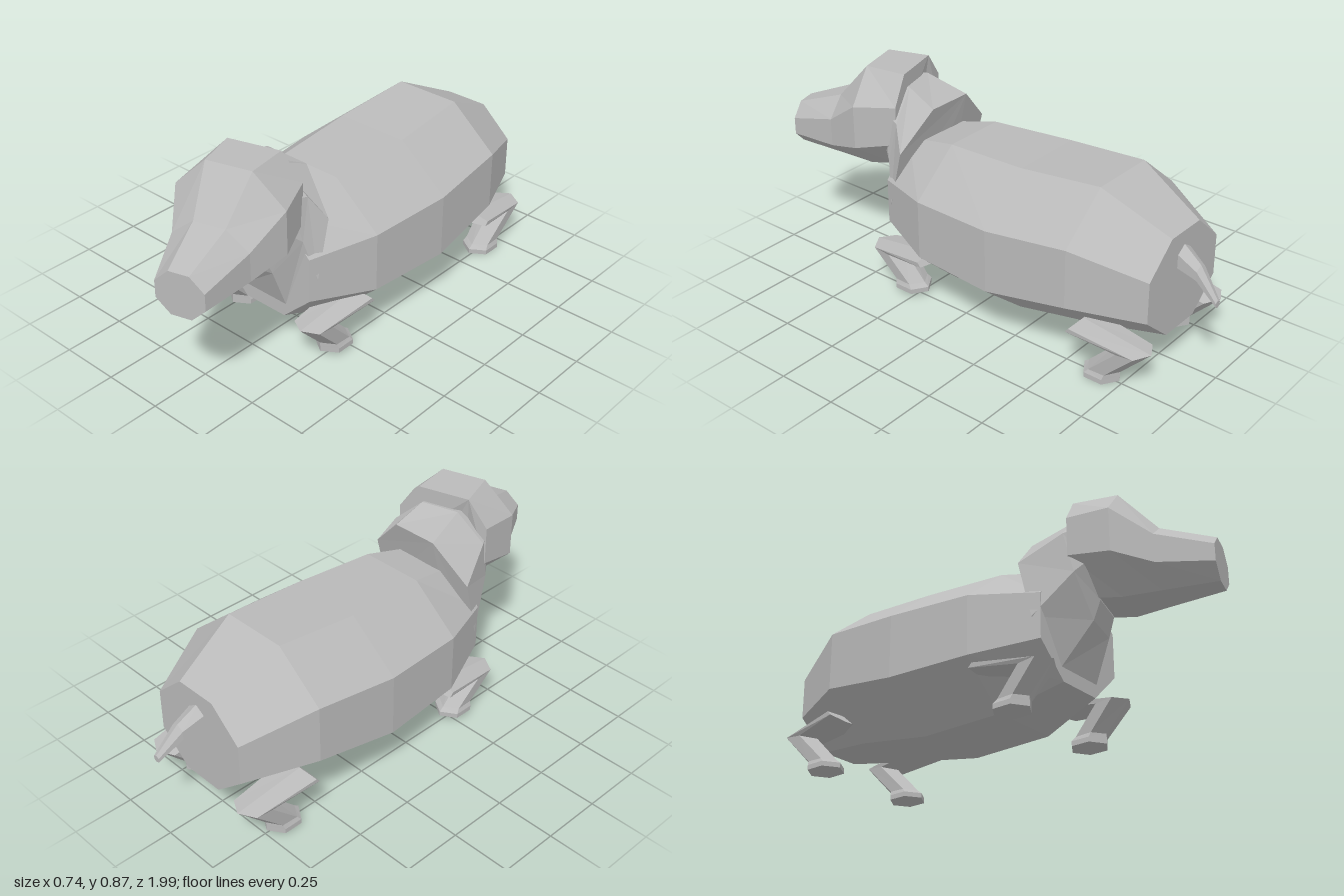
import * as THREE from 'three';

const coat = new THREE.MeshStandardMaterial({ color: 0xbababa, flatShading: true });
coat.name = 'grey coat';

// Skin a closed loft through rings of [x, y, z] points, with end caps facing outward.
function loft(name, rings) {
  const tris = [];
  const n = rings[0].length;
  for (let i = 0; i < rings.length - 1; i++) {
    for (let j = 0; j < n; j++) {
      const k = (j + 1) % n;
      const a = rings[i][j], b = rings[i][k], c = rings[i + 1][k], d = rings[i + 1][j];
      tris.push([a, b, c], [a, c, d]);
    }
  }
  const first = rings[0], last = rings[rings.length - 1];
  for (let j = 1; j < n - 1; j++) {
    tris.push([first[0], first[j + 1], first[j]], [last[0], last[j], last[j + 1]]);
  }
  // turn all faces outward when the enclosed volume is negative
  const v = p => new THREE.Vector3(...p);
  const volume = tris.reduce((s, [a, b, c]) => s + v(a).dot(v(b).cross(v(c))), 0);
  const flat = tris.flatMap(([a, b, c]) => (volume < 0 ? [a, c, b] : [a, b, c])).flat();
  const geometry = new THREE.BufferGeometry();
  geometry.setAttribute('position', new THREE.Float32BufferAttribute(flat, 3));
  geometry.computeVertexNormals();
  const mesh = new THREE.Mesh(geometry, coat);
  mesh.name = name;
  return mesh;
}

// Eight-sided ring from four levels, top to bottom: [halfWidth, y, forward offset].
function ring(cx, cz, yaw, levels) {
  const c = Math.cos(yaw), s = Math.sin(yaw);
  const at = side => ([w, y, dz = 0]) => [cx + side * w * c + dz * s, y, cz - side * w * s + dz * c];
  return [...levels.map(at(-1)), ...levels.map(at(1)).reverse()];
}

// Six-sided ring with its points on the front, outer, back and inner sides.
function hexRing(x, z, rx, rz, yFront, yBack) {
  return [[0, 1], [1, 0.5], [1, -0.5], [0, -1], [-1, -0.5], [-1, 0.5]].map(([u, w]) =>
    [x + u * rx, (yFront + yBack) / 2 + w * (yFront - yBack) / 2, z + w * rz]);
}

// Bent leg: sole, ankle, knee and the thin upper leg reaching under the body.
// dir 1 points the knee forward, dir -1 backward.
function leg(name, side, dir, kneeZ, footBack, soleY) {
  const rings = [
    hexRing(0.24, -0.19 + footBack, 0.062, 0.08, soleY, soleY),
    hexRing(0.24, -0.19 + footBack, 0.062, 0.08, soleY + 0.02, soleY + 0.02),
    hexRing(0.24, -0.18 + footBack, 0.055, 0.07, soleY + 0.04, soleY + 0.035),
    hexRing(0.24, -0.075, 0.065, 0.075, 0.17, 0.155),
    hexRing(0.25, -0.31, 0.085, 0.015, 0.215, 0.18),
  ];
  return loft(name, rings.map(r => r.map(([x, y, z]) => [side * x, y, kneeZ + dir * z])));
}

export function createModel() {
  const dog = new THREE.Group();
  dog.name = 'dog';

  // long barrel body, rump to chest
  dog.add(loft('body', [
    ring(0, -0.83, 0, [[0.09, 0.57], [0.225, 0.45], [0.225, 0.28], [0.09, 0.165]]),
    ring(0, -0.55, 0, [[0.14, 0.705], [0.345, 0.535], [0.345, 0.295], [0.14, 0.125]]),
    ring(0, -0.2, 0, [[0.155, 0.675], [0.37, 0.5], [0.37, 0.24], [0.155, 0.065]]),
    ring(0, 0.16, 0, [[0.135, 0.655], [0.34, 0.485], [0.34, 0.24], [0.15, 0.068]]),
    ring(0, 0.42, 0, [[0.1, 0.595], [0.235, 0.455], [0.235, 0.27], [0.1, 0.143]]),
  ]));

  // neck, leaning forward and turning with the head
  dog.add(loft('neck', [
    ring(0, 0, 0, [[0.1, 0.755, 0.285], [0.25, 0.6, 0.33], [0.25, 0.36, 0.39], [0.11, 0.2, 0.42]]),
    ring(0.015, 0.46, 0.26, [[0.08, 0.81, -0.02], [0.2, 0.7, -0.02], [0.2, 0.53, 0.02], [0.085, 0.375, 0.05]]),
    ring(0.02, 0.52, 0.28, [[0.08, 0.8], [0.17, 0.72], [0.17, 0.57], [0.08, 0.45, 0.02]]),
  ]));

  // head turned to its left: back of skull, brow, stop, muzzle tip
  dog.add(loft('head', [
    ring(0.005, 0.455, 0.28, [[0.11, 0.87], [0.195, 0.76], [0.195, 0.6], [0.09, 0.46, 0.06]]),
    ring(0.05, 0.625, 0.28, [[0.095, 0.872], [0.225, 0.745], [0.225, 0.565], [0.09, 0.44]]),
    ring(0.09, 0.765, 0.28, [[0.065, 0.71], [0.157, 0.637], [0.157, 0.52], [0.07, 0.447]]),
    ring(0.147, 0.967, 0.28, [[0.042, 0.635], [0.1, 0.58], [0.1, 0.51], [0.042, 0.455]]),
  ]));

  // tapering tail that droops and bends aside
  const tail = [[0, 0.465, -0.81, 0.052, 0.06], [0.015, 0.425, -0.91, 0.034, 0.035], [0.035, 0.34, -1, 0.016, 0.015]];
  dog.add(loft('tail', tail.map(([x, y, z, rx, ry]) =>
    [0, 1, 2, 3, 4, 5].map(i => {
      const a = i * Math.PI / 3 + Math.PI / 6;
      return [x + rx * Math.cos(a), y + ry * Math.sin(a), z];
    }))));

  // mirrored leg pairs
  for (const [label, side] of [['Left', 1], ['Right', -1]]) {
    dog.add(leg('front' + label + 'Leg', side, 1, 0.48, 0, 0.015));
    dog.add(leg('hind' + label + 'Leg', side, -1, -0.865, -0.02, 0));
  }
  return dog;
}
